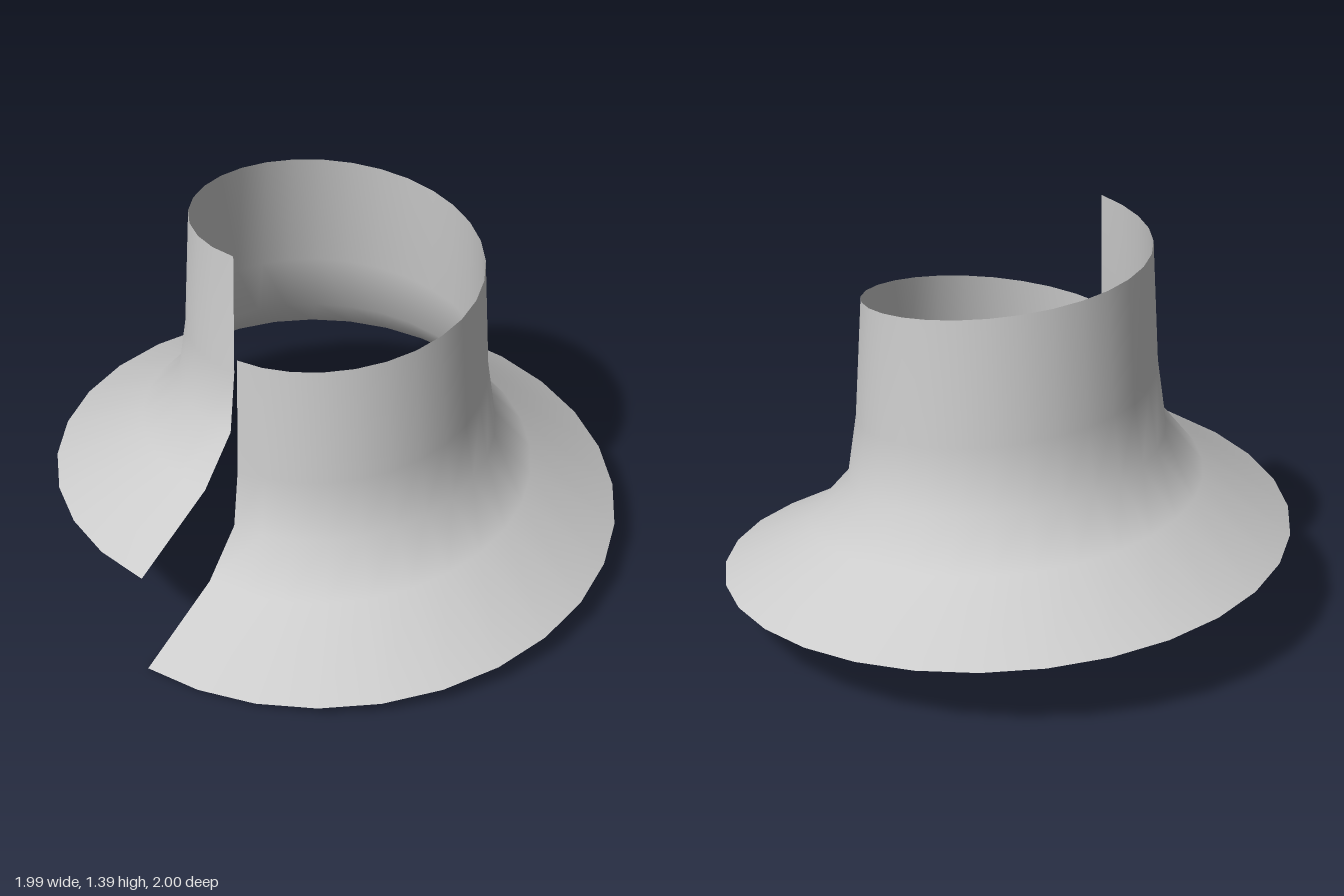
import * as THREE from 'three';

// Flared wall profile, bottom to top: radius, height, twist of the seam (radians)
const PROFILE = [
  [1.0, 0.0, 0.033],
  [0.69, 0.18, 0.038],
  [0.555, 0.34, 0.035],
  [0.522, 0.56, 0.025],
  [0.495, 0.99, 0.0],
];
const SEGMENTS = 30;
const RISE = 0.4; // climb over one full turn

export function createModel() {
  const group = new THREE.Group();

  // One helical turn: a flat grid wrapped round y, climbing as it goes
  const rows = PROFILE.length - 1;
  const geometry = new THREE.PlaneGeometry(1, 1, SEGMENTS, rows);
  const pos = geometry.attributes.position;
  for (let i = 0; i < pos.count; i++) {
    const turn = pos.getX(i) + 0.5;
    const [radius, height, twist] = PROFILE[Math.round((pos.getY(i) + 0.5) * rows)];
    const angle = turn * Math.PI * 2 + twist;
    pos.setXYZ(i, radius * Math.sin(angle), height + RISE * turn, radius * Math.cos(angle));
  }
  geometry.computeVertexNormals();

  const material = new THREE.MeshStandardMaterial({ color: 0xcccccc, side: THREE.DoubleSide });
  const wall = new THREE.Mesh(geometry, material);
  wall.name = 'helicalFlaredWall';
  group.add(wall);
  return group;
}
